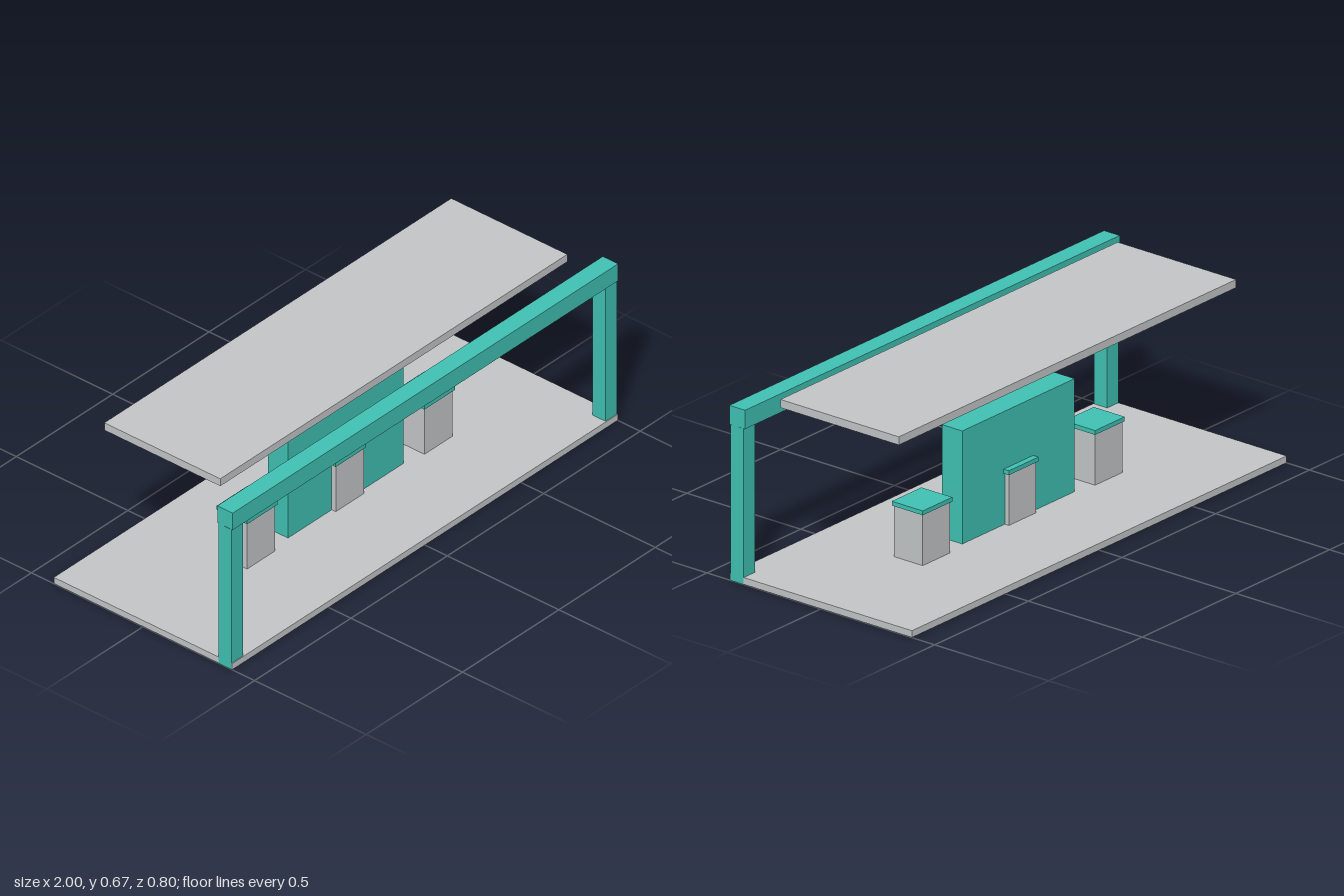
import * as THREE from 'three';

export function createModel() {
  const model = new THREE.Group();
  const grey = new THREE.MeshStandardMaterial({ color: 0xc3c6c8 });
  grey.name = 'light grey';
  const teal = new THREE.MeshStandardMaterial({ color: 0x40c1b3 });
  teal.name = 'teal';

  // Box given by its minimum and maximum on each axis
  function box(name, material, [x0, x1], [y0, y1], [z0, z1], parent = model) {
    const mesh = new THREE.Mesh(new THREE.BoxGeometry(x1 - x0, y1 - y0, z1 - z0), material);
    mesh.position.set((x0 + x1) / 2, (y0 + y1) / 2, (z0 + z1) / 2);
    mesh.name = name;
    parent.add(mesh);
  }

  // Floor and floating roof
  box('floor', grey, [-1, 1], [0, 0.025], [-0.4, 0.4]);
  box('roof', grey, [-0.9, 0.9], [0.638, 0.668], [-0.26, 0.26]);

  // Front portal: two posts, a hair proud of the floor's faces, and a beam
  box('rightPost', teal, [-1.0005, -0.94], [-0.0005, 0.572], [0.339, 0.397]);
  box('leftPost', teal, [0.94, 1.0005], [-0.0005, 0.572], [0.339, 0.397]);
  box('beam', teal, [-1, 1], [0.572, 0.641], [0.333, 0.402]);

  // Central wall, reaching down through the floor
  box('wall', teal, [-0.3, 0.3], [-0.0005, 0.44], [-0.045, 0.045]);

  // Counters with overhanging tops; the middle one passes through the wall
  for (const x of [-0.46, 0, 0.46]) {
    const counter = new THREE.Group();
    counter.name = 'counter';
    counter.position.x = x;
    box('counterBody', grey, [-0.073, 0.073], [0.02, 0.213], [-0.063, 0.063], counter);
    box('counterTop', teal, [-0.079, 0.079], [0.213, 0.229], [-0.068, 0.068], counter);
    model.add(counter);
  }

  return model;
}
